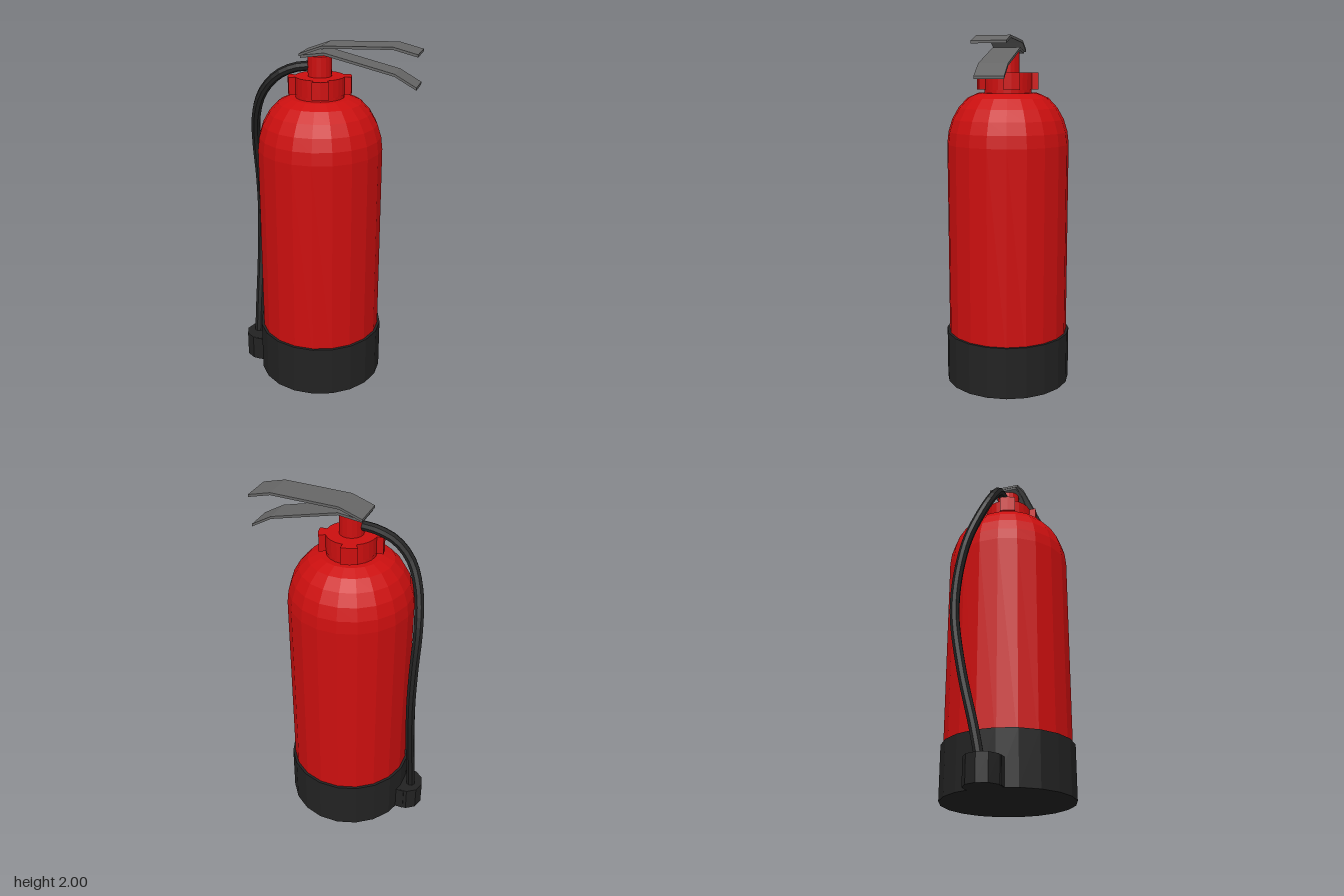
import * as THREE from 'three';

const AXIS_X = -0.035; // centre line of the tank

function mat(name, color, flatShading = true) {
  const m = new THREE.MeshStandardMaterial({ color, flatShading });
  m.name = name;
  return m;
}

function part(group, name, geometry, material, x = 0, y = 0, z = 0) {
  const mesh = new THREE.Mesh(geometry, material);
  mesh.name = name;
  mesh.position.set(x, y, z);
  group.add(mesh);
  return mesh;
}

// Bent strip: a side profile thickened downwards and extruded across z
function strip(points, thickness, width) {
  const shape = new THREE.Shape();
  points.forEach(([x, y], i) => (i ? shape.lineTo(x, y) : shape.moveTo(x, y)));
  [...points].reverse().forEach(([x, y]) => shape.lineTo(x, y - thickness));
  const g = new THREE.ExtrudeGeometry(shape, { depth: width, bevelEnabled: false });
  return g.translate(0, 0, -width / 2);
}

// Ring nut with evenly spaced lugs
function lugNut(inner, outer, height, lugs, startDeg, halfDeg) {
  const shape = new THREE.Shape();
  const rad = Math.PI / 180;
  const step = 360 / lugs;
  const points = [];
  const arc = (r, from, to, n) => {
    for (let i = 0; i <= n; i++) {
      const a = (from + ((to - from) * i) / n) * rad;
      points.push(new THREE.Vector2(r * Math.cos(a), r * Math.sin(a)));
    }
  };
  for (let k = 0; k < lugs; k++) {
    const a = startDeg + k * step;
    arc(outer, a - halfDeg, a + halfDeg, 2);
    arc(inner, a + halfDeg, a + step - halfDeg, 4);
  }
  shape.setFromPoints(points);
  return new THREE.ExtrudeGeometry(shape, { depth: height, bevelEnabled: false }).rotateX(-Math.PI / 2);
}

export function createModel() {
  const group = new THREE.Group();
  group.name = 'fireExtinguisher';
  const red = mat('red paint', 0xcc0f0f);
  const black = mat('black rubber', 0x222222);
  const hoseBlack = black;
  const grey = mat('grey metal', 0x666666);

  // Tank with a domed shoulder
  const profile = [
    [0.35, 0.2], [0.35, 1.41], [0.342, 1.48], [0.32, 1.55],
    [0.283, 1.615], [0.232, 1.67], [0.17, 1.698], [0, 1.7],
  ].map(([x, y]) => new THREE.Vector2(x, y));
  part(group, 'tank', new THREE.LatheGeometry(profile, 20, Math.PI / 20), red, AXIS_X);

  // Base boot
  const boot = new THREE.CylinderGeometry(0.365, 0.365, 0.3, 20, 1, false, Math.PI / 20);
  part(group, 'baseBoot', boot, black, AXIS_X, 0.15);

  // Hose holder: rounded end joined to the boot
  part(group, 'hoseHolderEnd', new THREE.CylinderGeometry(0.1, 0.1, 0.15, 10, 1, false, Math.PI / 10), black, -0.418, 0.075);
  part(group, 'hoseHolderArm', new THREE.BoxGeometry(0.12, 0.148, 0.2), black, -0.37, 0.075);

  // Neck, lugged nut and valve
  part(group, 'neck', new THREE.CylinderGeometry(0.135, 0.135, 0.05, 20), red, AXIS_X, 1.705);
  part(group, 'lugNut', lugNut(0.137, 0.175, 0.095, 4, 17, 15), red, AXIS_X, 1.717);
  part(group, 'valve', new THREE.CylinderGeometry(0.066, 0.066, 0.125, 16), red, AXIS_X, 1.862);

  // Squeeze levers
  const upper = [[-0.127, 1.942], [0.0, 1.988], [0.38, 2.0], [0.51, 1.968]];
  const lower = [[-0.122, 1.932], [0.01, 1.95], [0.39, 1.86], [0.507, 1.795]];
  part(group, 'upperLever', strip(upper, 0.014, 0.18), grey);
  part(group, 'lowerLever', strip(lower, 0.014, 0.156), grey);

  // Hose sweeping from the valve down to its holder
  const path = new THREE.CatmullRomCurve3([
    [-0.06, 1.866, 0], [-0.17, 1.853, 0.006], [-0.275, 1.805, 0.016],
    [-0.365, 1.705, 0.01], [-0.425, 1.56, -0.035], [-0.454, 1.38, -0.1],
    [-0.458, 1.15, -0.148], [-0.457, 0.92, -0.158], [-0.453, 0.6, -0.11],
    [-0.449, 0.3, -0.04], [-0.447, 0.1, 0],
  ].map((p) => new THREE.Vector3(...p)));
  part(group, 'hose', new THREE.TubeGeometry(path, 40, 0.027, 8), hoseBlack);

  return group;
}
